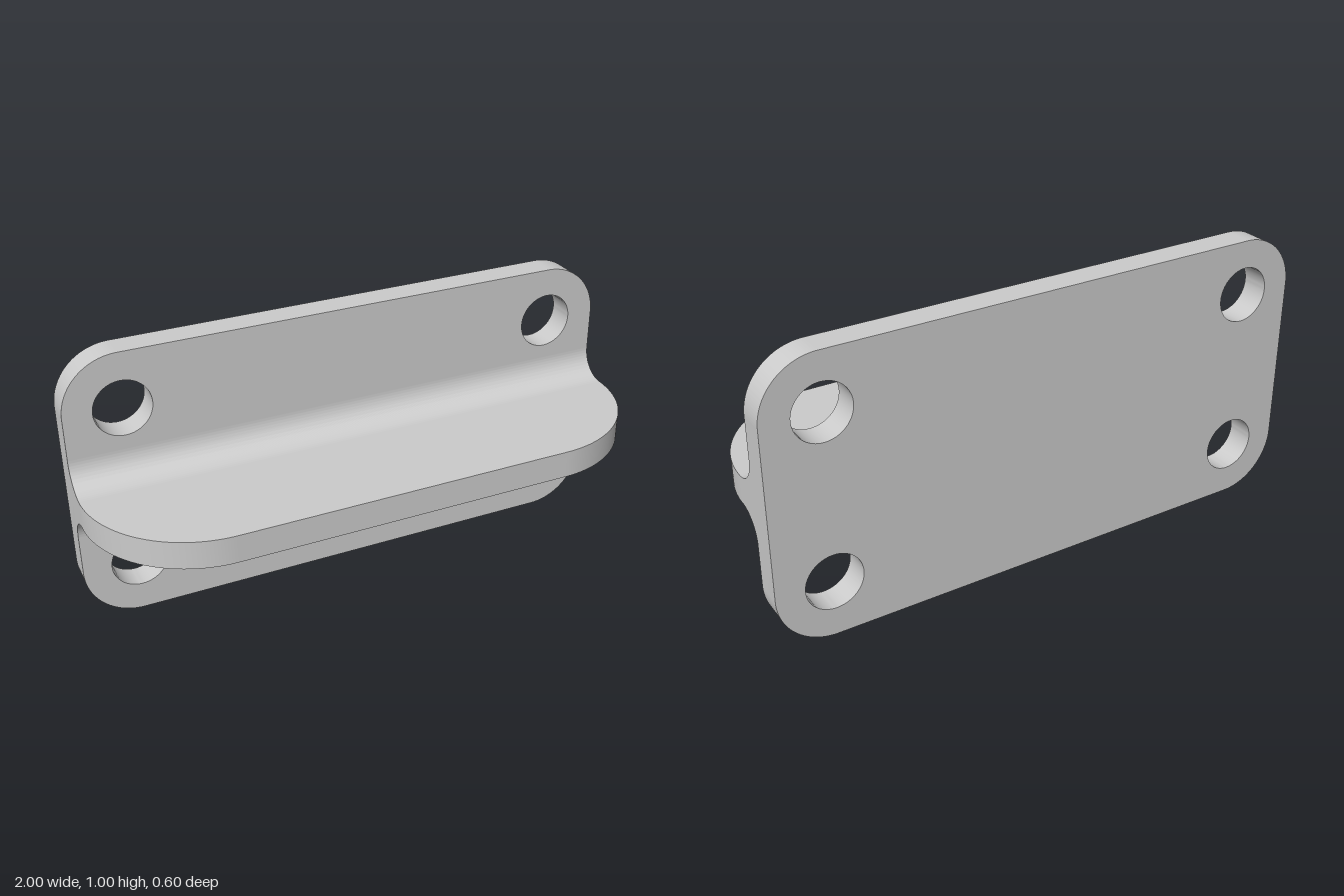
import * as THREE from 'three';
import { toCreasedNormals } from 'three/addons/utils/BufferGeometryUtils.js';

const material = new THREE.MeshStandardMaterial({ color: 0xcccccc });

function extrude(shape, depth) {
  const geometry = new THREE.ExtrudeGeometry(shape, { depth, bevelEnabled: false, curveSegments: 32 });
  return toCreasedNormals(geometry, 0.5);
}

function part(name, geometry) {
  const mesh = new THREE.Mesh(geometry, material);
  mesh.name = name;
  return mesh;
}

// Upright plate with rounded corners and four bolt holes
function mountingPlate() {
  const r = 0.2;
  const shape = new THREE.Shape();
  shape.moveTo(-1 + r, 0);
  shape.absarc(1 - r, r, r, -Math.PI / 2, 0);
  shape.absarc(1 - r, 1 - r, r, 0, Math.PI / 2);
  shape.absarc(-1 + r, 1 - r, r, Math.PI / 2, Math.PI);
  shape.absarc(-1 + r, r, r, Math.PI, Math.PI * 1.5);
  for (const x of [-0.8, 0.8]) {
    for (const y of [0.2, 0.8]) {
      shape.holes.push(new THREE.Path().absarc(x, y, 0.1, 0, Math.PI * 2, true));
    }
  }
  return part('mountingPlate', extrude(shape, 0.1).translate(0, 0, -0.3));
}

// Horizontal flange with large rounded front corners, drawn in x and z
function flange() {
  const r = 0.4;
  const shape = new THREE.Shape();
  shape.moveTo(-1, -0.1);
  shape.lineTo(1, -0.1);
  shape.absarc(1 - r, 0.3 - r, r, 0, Math.PI / 2);
  shape.absarc(-1 + r, 0.3 - r, r, Math.PI / 2, Math.PI);
  return part('flange', extrude(shape, 0.1).rotateX(Math.PI / 2).translate(0, 0.55, 0));
}

// Root of the flange, flared by a concave fillet above and below
function filletedRoot() {
  const r = 0.1;
  const shape = new THREE.Shape();
  shape.moveTo(-0.2, 0.45 - r);
  shape.absarc(-0.1, 0.45 - r, r, Math.PI, Math.PI / 2, true);
  shape.lineTo(-0.1, 0.55);
  shape.absarc(-0.1, 0.55 + r, r, -Math.PI / 2, -Math.PI, true);
  return part('filletedRoot', extrude(shape, 2).rotateY(-Math.PI / 2).translate(1, 0, 0));
}

export function createModel() {
  const group = new THREE.Group();
  group.name = 'flangedBracket';
  group.add(mountingPlate(), flange(), filletedRoot());
  return group;
}
